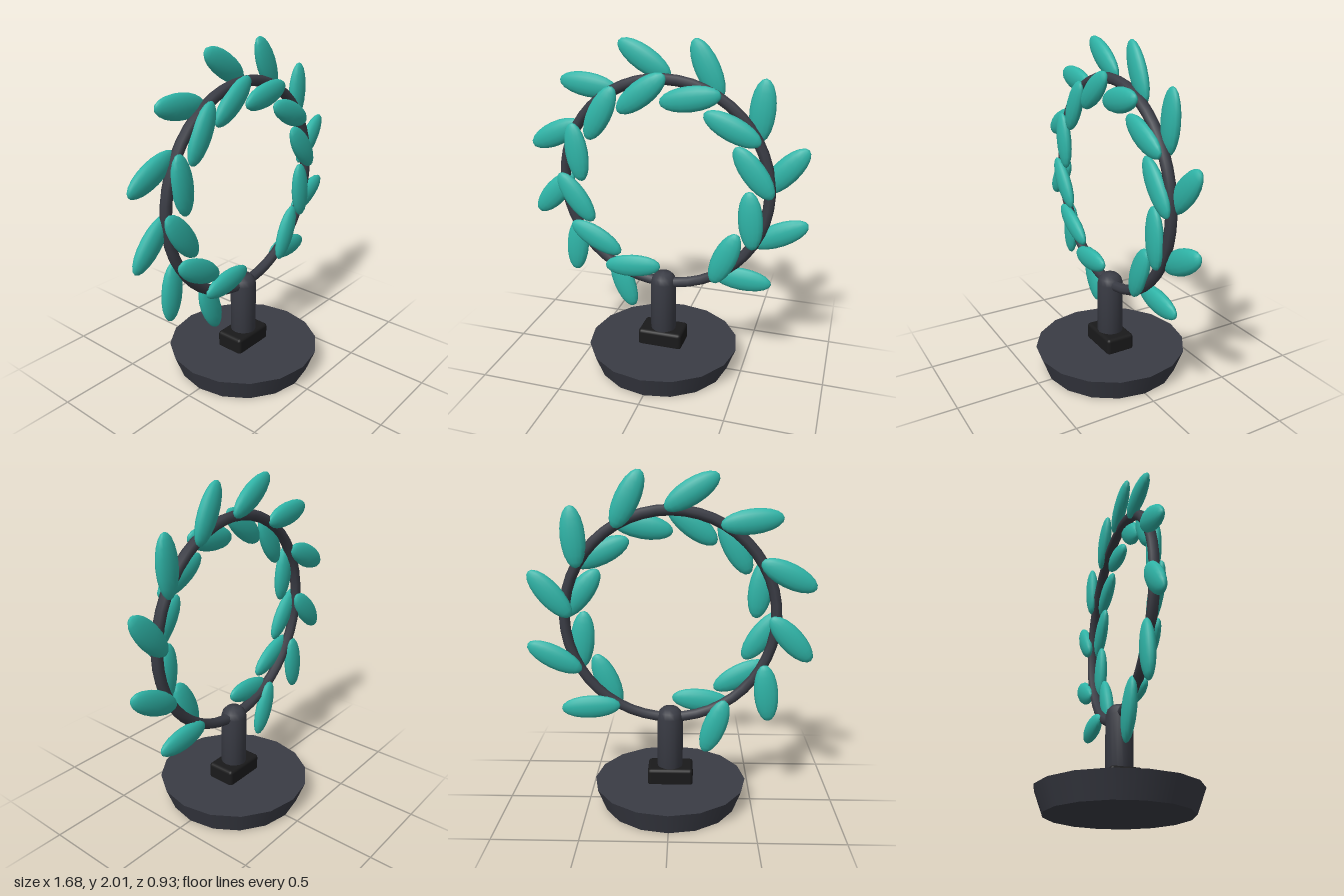
import * as THREE from 'three';
import { RoundedBoxGeometry } from 'three/addons/geometries/RoundedBoxGeometry.js';

const metal = new THREE.MeshStandardMaterial({ color: 0x3a3c45 });
const black = new THREE.MeshStandardMaterial({ color: 0x1a1a1b });
const green = new THREE.MeshStandardMaterial({ color: 0x2fb5a8 });

// Leaves as [centre x, centre y, direction of the tip in degrees]
const outerLeaves = [
  [-0.12, 1.885, 148], [0.24, 1.845, 116], [0.547, 1.635, 86], [0.693, 1.308, 49],
  [0.68, 0.93, 27], [0.474, 0.62, -4], [-0.268, 0.5, -70], [-0.571, 0.716, 264],
  [-0.703, 1.048, 227], [-0.676, 1.422, 206], [-0.458, 1.724, 173],
];
const innerLeaves = [
  [-0.124, 1.703, 218], [0.158, 1.69, 190], [0.397, 1.541, 155], [0.526, 1.302, 128],
  [0.521, 1.019, 95], [0.379, 0.767, 67], [-0.187, 0.645, 6], [-0.418, 0.804, -28],
  [-0.539, 1.053, -54], [-0.524, 1.334, -82], [-0.371, 1.576, 242],
];

export function createModel() {
  const model = new THREE.Group();
  model.name = 'wreathOnStand';

  function add(name, geometry, material, x, y, z, parent = model) {
    const mesh = new THREE.Mesh(geometry, material);
    mesh.name = name;
    mesh.position.set(x, y, z);
    parent.add(mesh);
    return mesh;
  }

  // Flared round foot
  add('base', new THREE.CylinderGeometry(0.463, 0.41, 0.14, 16), metal, 0, 0.07, 0);

  // Block that holds the post
  add('collar', new RoundedBoxGeometry(0.275, 0.11, 0.18, 2, 0.02), black, -0.003, 0.18, 0);

  // Post with a domed top
  const post = [[0, 0.2], [0.078, 0.2], [0.078, 0.55], [0.068, 0.585], [0.045, 0.608], [0, 0.618]];
  add('post', new THREE.LatheGeometry(post.map(([r, y]) => new THREE.Vector2(r, y)), 16), metal, 0, 0, 0);

  // Branch bent into a ring
  add('ring', new THREE.TorusGeometry(0.618, 0.032, 8, 48), metal, 0, 1.167, 0);

  // Leaves: the outer row lies behind the ring, the inner row in front
  const leafGeometry = new THREE.SphereGeometry(1, 14, 10).scale(0.072, 0.177, 0.038);
  function addLeaves(name, leaves, z) {
    const row = new THREE.Group();
    row.name = name;
    model.add(row);
    for (const [x, y, angle] of leaves) {
      const leaf = add('leaf', leafGeometry, green, x, y, z, row);
      leaf.rotation.z = THREE.MathUtils.degToRad(angle - 90);
    }
  }
  addLeaves('outerLeaves', outerLeaves, -0.029);
  addLeaves('innerLeaves', innerLeaves, 0.034);

  return model;
}
